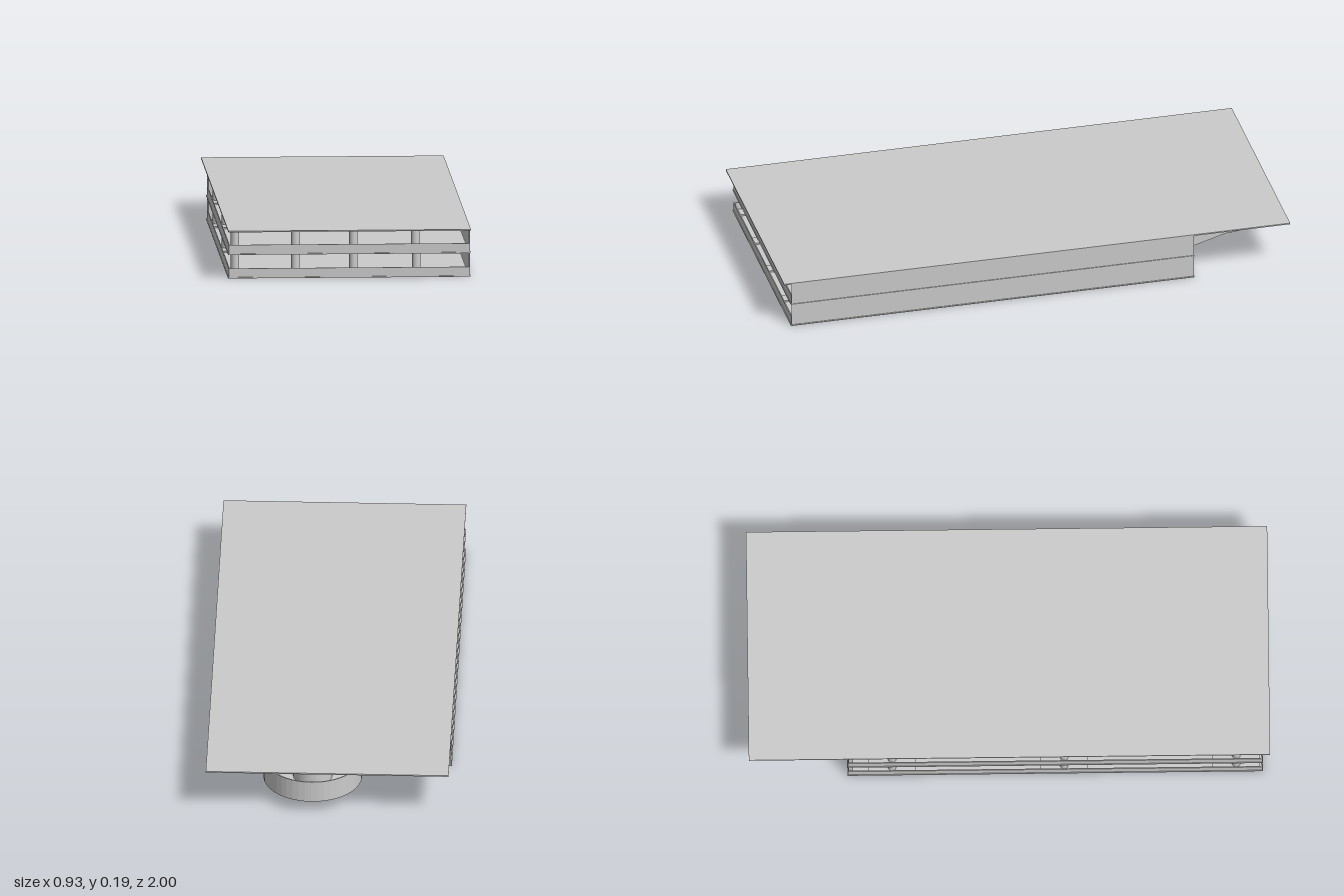
import * as THREE from 'three';

const mat = new THREE.MeshStandardMaterial({ color: 0xcccccc, flatShading: true });
const smooth = new THREE.MeshStandardMaterial({ color: 0xcccccc });
const open = new THREE.MeshStandardMaterial({ color: 0xcccccc, flatShading: true, side: THREE.DoubleSide });

const BACK = -0.62, FRONT = 0.97, HALF = 0.463, T = 0.004;
const LEVELS = [0, 0.091];
const ROOF = 0.182;

export function createModel() {
  const model = new THREE.Group();

  // Box given by its minimum and maximum corners
  const box = (name, x0, x1, y0, y1, z0, z1) => {
    const m = new THREE.Mesh(new THREE.BoxGeometry(x1 - x0, y1 - y0, z1 - z0), mat);
    m.position.set((x0 + x1) / 2, (y0 + y1) / 2, (z0 + z1) / 2);
    m.name = name;
    model.add(m);
  };

  // Roof overhanging the ramp
  box('roof', -0.466, 0.466, ROOF, 0.187, -1, 1);

  // Solid side wall
  box('sideWall', HALF - T, HALF, 0, ROOF, BACK, FRONT);

  LEVELS.forEach((y, level) => {
    const ceiling = level ? ROOF : LEVELS[1];
    // Floor slab with a slight lip, and parapets on the two open sides
    box('floorSlab', -0.466, 0.466, y, y + T, BACK - 0.002, FRONT + 0.003);
    box('frontParapet', -HALF, HALF, y, y + 0.038, FRONT - T, FRONT);
    box('sideParapet', -HALF, -HALF + T, y, y + 0.038, BACK, FRONT);
    // Shallow service door on the back wall
    box('serviceDoor', -HALF + T, -0.35, y + T, ceiling, BACK + T, BACK + 0.02);

    // Columns standing on low islands
    for (const z of [0.87, 0.21, -0.45]) {
      for (const x of [-0.434, -0.203, 0.021, 0.258]) {
        const cx = level === 0 && x > 0.2 ? (z > 0.5 ? 0.262 : 0.274) : x;
        const column = new THREE.Mesh(
          new THREE.CylinderGeometry(0.0165, 0.0165, ceiling - y - T, 24, 1, true), smooth);
        column.position.set(cx, (ceiling + y + T) / 2, z);
        column.name = 'column';
        model.add(column);
        box('columnIsland', cx - 0.022, cx + 0.022, y + T, y + 0.01, z - 0.09, z + 0.09);
      }
    }
  });

  // Back wall with one doorway per storey
  const wall = new THREE.Shape([[-HALF, 0], [HALF, 0], [HALF, ROOF], [-HALF, ROOF]]
    .map(p => new THREE.Vector2(...p)));
  for (const [x0, x1, y0, y1] of [[0.135, 0.24, T, 0.09], [-0.121, 0, 0.095, 0.181]]) {
    wall.holes.push(new THREE.Path([[x0, y0], [x0, y1], [x1, y1], [x1, y0]]
      .map(p => new THREE.Vector2(...p))));
  }
  const backWall = new THREE.Mesh(
    new THREE.ExtrudeGeometry(wall, { depth: T, bevelEnabled: false }), mat);
  backWall.position.z = BACK;
  backWall.name = 'backWall';
  model.add(backWall);

  const ramp = new THREE.Mesh(rampGeometry(), open);
  ramp.name = 'uTurnRamp';
  model.add(ramp);
  return model;
}

// U-shaped channel swept up one leg, round a half circle and up the other leg
function rampGeometry() {
  const cx = 0.062, cz = -0.8, r = 0.13, w = 0.059, h = 0.087, mid = 0.053, steps = 24;
  const profile = [[-w, 0], [w, 0], [w, h], [w - T, h], [w - T, T], [T - w, T], [T - w, h], [-w, h]];
  const stations = [{ a: 0, y: 0, z: BACK }];
  for (let i = 0; i <= steps; i++) stations.push({ a: Math.PI * i / steps, y: mid, z: cz });
  stations.push({ a: Math.PI, y: 0.093, z: BACK });

  const rings = stations.map(({ a, y, z }) => profile.map(([n, up]) => [
    cx + Math.cos(a) * (r + n), y + up, z - Math.sin(a) * (r + n)]));
  const pos = [];
  for (let i = 0; i < rings.length - 1; i++) {
    for (let k = 0; k < profile.length; k++) {
      const k2 = (k + 1) % profile.length;
      const A = rings[i][k], B = rings[i][k2], C = rings[i + 1][k], D = rings[i + 1][k2];
      pos.push(...A, ...C, ...B, ...C, ...D, ...B);
    }
  }
  const g = new THREE.BufferGeometry();
  g.setAttribute('position', new THREE.Float32BufferAttribute(pos, 3));
  g.computeVertexNormals();
  return g;
}
